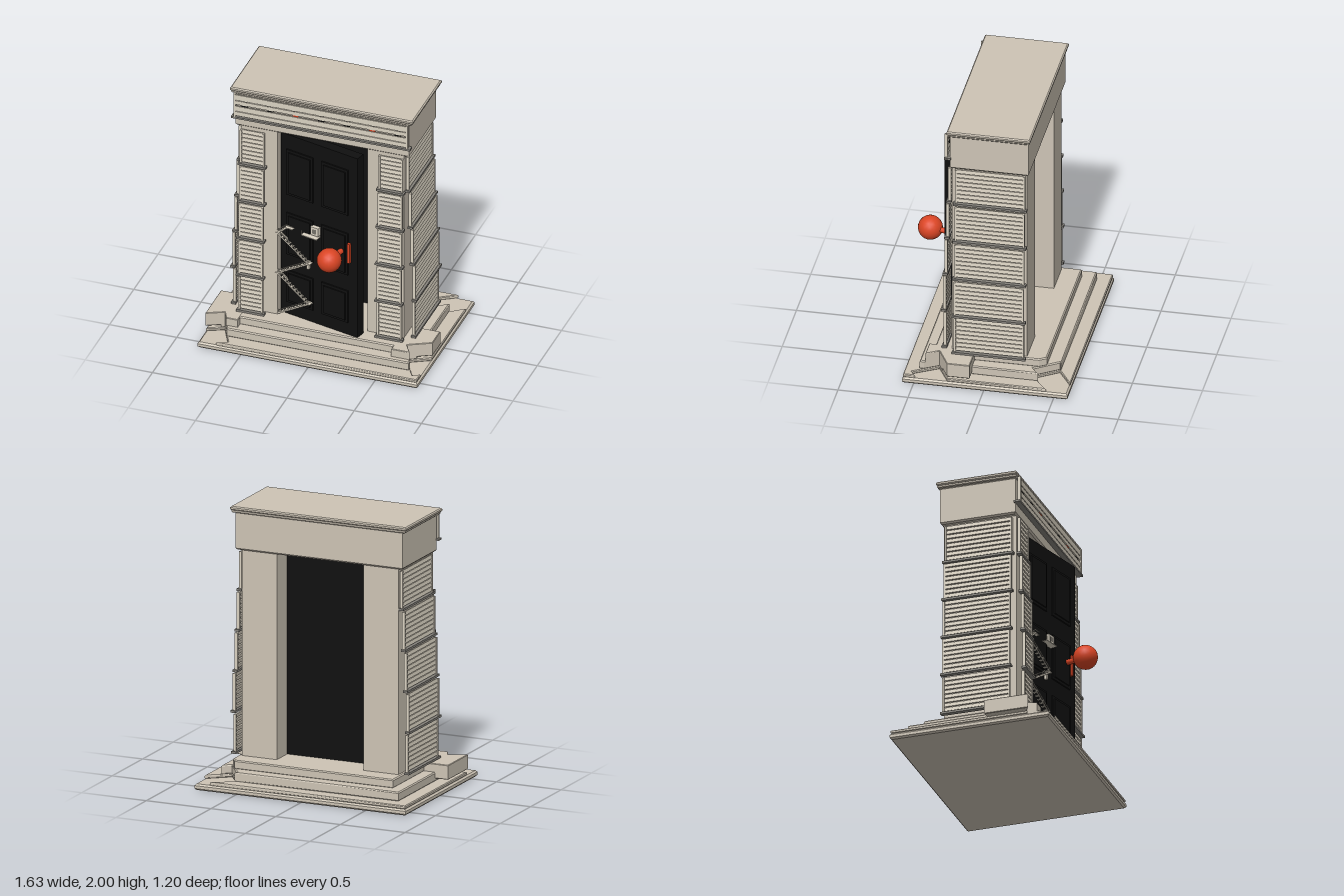
import * as THREE from 'three';

const mat = (name, color) => Object.assign(new THREE.MeshStandardMaterial({ color }), { name });

export function createModel() {
  const model = new THREE.Group();
  model.name = 'doorway';
  const stone = mat('stone', 0xcdc4b5);
  const cream = mat('cream cladding', 0xdad2c2);
  const trim = mat('grey trim', 0x85827c);
  const black = mat('black paint', 0x101010);
  const orange = mat('orange paint', 0xdb4524);

  const add = (parent, name, geometry, material, x = 0, y = 0, z = 0) => {
    const mesh = new THREE.Mesh(geometry, material);
    mesh.name = name;
    mesh.position.set(x, y, z);
    parent.add(mesh);
    return mesh;
  };
  // box given by its limits on each axis
  const block = (parent, name, material, [x0, x1], [y0, y1], [z0, z1]) =>
    add(parent, name, new THREE.BoxGeometry(x1 - x0, y1 - y0, z1 - z0), material,
      (x0 + x1) / 2, (y0 + y1) / 2, (z0 + z1) / 2);
  // bevelled horizontal slab from an outline of [x, z] points
  const slab = (name, outline, y0, y1, bevel) => {
    const shape = new THREE.Shape(outline.map(([x, z]) => new THREE.Vector2(x, -z)));
    const geometry = new THREE.ExtrudeGeometry(shape, {
      depth: y1 - y0 - 2 * bevel, bevelEnabled: bevel > 0, bevelSize: bevel,
      bevelThickness: bevel, bevelOffset: -bevel, bevelSegments: 1,
    });
    geometry.translate(0, 0, bevel);
    geometry.rotateX(-Math.PI / 2);
    return add(model, name, geometry, stone, 0, y0, 0);
  };
  const rect = (x, z0, z1) => [[-x, z0], [x, z0], [x, z1], [-x, z1]];

  // Plinth and steps, with three chipped corners
  slab('plinth', rect(0.817, -0.6, 0.58), 0, 0.045, 0.012);
  slab('plinthTop', [[-0.81, -0.595], [0.7, -0.595], [0.54, -0.49], [0.655, -0.325], [0.81, -0.445],
    [0.81, 0.26], [0.655, 0.345], [0.76, 0.52], [0.81, 0.49], [0.81, 0.575], [-0.68, 0.575],
    [-0.605, 0.54], [-0.69, 0.365], [-0.81, 0.42]], 0.045, 0.07, 0.006);
  slab('lowerStep', [[-0.715, -0.5], [0.555, -0.5], [0.54, -0.49], [0.655, -0.325], [0.715, -0.37],
    [0.715, 0.313], [0.655, 0.345], [0.715, 0.445], [0.715, 0.475], [-0.637, 0.475],
    [-0.69, 0.365], [-0.715, 0.377]], 0.068, 0.135, 0.008);
  slab('upperStep', [[-0.63, -0.41], [0.596, -0.41], [0.63, -0.36], [0.63, 0.388], [-0.63, 0.388]],
    0.13, 0.195, 0.008);
  slab('rightCornerStone', [[0.57, 0.1], [0.815, 0.1], [0.815, 0.26], [0.655, 0.345],
    [0.709, 0.435], [0.57, 0.435]], 0.09, 0.196, 0.004);
  slab('leftCornerStone', [[-0.57, 0.1], [-0.815, 0.1], [-0.815, 0.425], [-0.69, 0.365],
    [-0.656, 0.435], [-0.57, 0.435]], 0.09, 0.196, 0.004);

  // Piers, lintel and cap
  for (const s of [-1, 1]) {
    const pier = add(model, 'pier', new THREE.BoxGeometry(0.27, 1.495, 0.535), stone, s * 0.47, 0.9425, -0.0025);
    pier.name = s > 0 ? 'leftPier' : 'rightPier';
  }
  slab('lintel', rect(0.645, -0.288, 0.272), 1.685, 1.965, 0.012);
  slab('capUnder', rect(0.67, -0.3, 0.285), 1.955, 1.978, 0.006);
  slab('cap', rect(0.68, -0.306, 0.292), 1.972, 2, 0.008);

  // Slatted cladding panel facing +z, standing on a grey rail
  const cladding = (name, width, height) => {
    const panel = new THREE.Group();
    panel.name = name;
    const count = 8, pitch = (height - 0.02) / count;
    for (let i = 0; i < count; i++) {
      const slat = add(panel, 'slat', new THREE.BoxGeometry(width - 0.02, pitch * 0.8, 0.012), cream,
        0, 0.02 + (i + 0.5) * pitch, 0);
      slat.rotation.x = -0.15;
    }
    for (const s of [-1, 1]) {
      add(panel, 'stile', new THREE.BoxGeometry(0.014, height - 0.01, 0.022), cream,
        s * (width / 2 - 0.007), height / 2, 0);
    }
    add(panel, 'rail', new THREE.BoxGeometry(width + 0.025, 0.016, 0.036), trim, 0, 0.008, 0.004);
    return panel;
  };
  const sideX = [0.665, 0.67, 0.655, 0.64, 0.622];
  const frontZ = [0.315, 0.32, 0.31, 0.298, 0.284];
  for (let i = 0; i < 5; i++) {
    for (const s of [-1, 1]) {
      const y = 0.2 + i * 0.296;
      const front = cladding('frontCladding', 0.182, 0.288);
      front.position.set(s * 0.515, y, frontZ[i]);
      const side = cladding('sideCladding', 0.5, 0.288);
      side.position.set(s * sideX[i], y, -0.01);
      side.rotation.y = s * Math.PI / 2;
      model.add(front, side);
    }
  }

  // Slatted frieze with small painted dashes in its gaps
  const frieze = new THREE.Group();
  frieze.name = 'frieze';
  model.add(frieze);
  for (const [y0, y1] of [[1.785, 1.818], [1.823, 1.862], [1.876, 1.906], [1.912, 1.955]]) {
    block(frieze, 'friezeSlat', cream, [-0.635, 0.635], [y0, y1], [0.292, 0.304]);
  }
  for (const s of [-1, 1]) {
    add(frieze, 'friezeEnd', new THREE.BoxGeometry(0.014, 0.19, 0.022), cream, s * 0.64, 1.87, 0.3);
  }
  block(frieze, 'friezeLedge', trim, [-0.665, 0.665], [1.764, 1.778], [0.265, 0.312]);
  for (let i = -3; i <= 3; i++) {
    const paint = i === -1 || i === 2 ? orange : black;
    add(frieze, 'dash', new THREE.BoxGeometry(0.045, 0.012, 0.03), paint, i * 0.19, 1.869, 0.285);
    add(frieze, 'upperDash', new THREE.BoxGeometry(0.04, 0.006, 0.03), black, i * 0.19, 1.909, 0.285);
  }

  // Dark closing panel inside the opening
  block(model, 'innerPanel', black, [-0.336, 0.336], [0.195, 1.69], [-0.1, -0.085]);

  // Door, ajar, hinged at x = -0.33; its face is local z = 0
  const door = new THREE.Group();
  door.name = 'door';
  door.position.set(-0.325, 0, 0.225);
  door.rotation.y = -0.245;
  model.add(door);
  block(door, 'doorLeaf', black, [0, 0.645], [0.2, 1.668], [-0.075, 0]);
  for (const [y0, y1] of [[1.18, 1.55], [0.69, 1.03], [0.3, 0.56]]) {
    for (const u of [0.05, 0.345]) {
      block(door, 'raisedPanel', black, [u, u + 0.225], [y0, y1], [-0.005, 0.01]);
      block(door, 'panelField', black, [u + 0.02, u + 0.205], [y0 + 0.02, y1 - 0.02], [0, 0.018]);
    }
  }

  // Knob and lock plate
  add(door, 'knob', new THREE.IcosahedronGeometry(0.088, 3), orange, 0.521, 0.88, 0.169).material.flatShading = false;
  const stem = add(door, 'knobStem', new THREE.CylinderGeometry(0.02, 0.02, 0.11, 16), orange, 0.521, 0.88, 0.055);
  stem.rotation.x = Math.PI / 2;
  block(door, 'lockPlate', orange, [0.57, 0.592], [0.8, 0.955], [0, 0.022]);

  // Little zigzag staircase climbing the door
  const stairs = new THREE.Group();
  stairs.name = 'zigzagStairs';
  door.add(stairs);
  const turns = [[0, 0.205], [0.26, 0.365], [0, 0.535], [0.26, 0.695], [0, 0.865], [0.075, 0.93]];
  for (let i = 0; i < turns.length - 1; i++) {
    const [u0, v0] = turns[i], [u1, v1] = turns[i + 1];
    const length = Math.hypot(u1 - u0, v1 - v0);
    const steps = Math.round(length / 0.03);
    for (const [dv, z, name] of [[0, 0.012, 'stringer'], [0, 0.046, 'stringer'], [0.025, 0.046, 'handrail']]) {
      const bar = add(stairs, name, new THREE.BoxGeometry(length, name === 'stringer' ? 0.01 : 0.005, 0.005),
        cream, (u0 + u1) / 2, (v0 + v1) / 2 + dv, z);
      bar.rotation.z = Math.atan2(v1 - v0, u1 - u0);
    }
    for (let k = 0; k < steps; k++) {
      const t = (k + 0.5) / steps, u = u0 + (u1 - u0) * t, v = v0 + (v1 - v0) * t;
      add(stairs, 'tread', new THREE.BoxGeometry(0.022, 0.004, 0.036), cream, u, v, 0.029);
      if (k % 3 === 0) add(stairs, 'post', new THREE.BoxGeometry(0.004, 0.026, 0.004), cream, u, v + 0.013, 0.046);
    }
    block(stairs, 'landing', cream, [u1 - 0.015, u1 + 0.015], [v1 - 0.004, v1 + 0.002], [0.004, 0.05]);
  }
  block(stairs, 'landingHook', cream, [0.235, 0.255], [0.64, 0.69], [0.01, 0.03]);
  block(stairs, 'topLanding', cream, [0.07, 0.125], [0.926, 0.932], [0, 0.045]);
  block(stairs, 'topRail', cream, [0.07, 0.125], [0.95, 0.955], [0.04, 0.045]);

  // Shelf and small framed tile
  block(door, 'shelf', cream, [0.205, 0.335], [0.918, 0.924], [0, 0.055]);
  block(door, 'shelfPost', cream, [0.205, 0.21], [0.924, 0.955], [0.05, 0.055]);
  block(door, 'tile', cream, [0.268, 0.333], [0.934, 1.0], [0, 0.03]);
  for (const u of [0.29, 0.305]) block(door, 'tileSlot', black, [u, u + 0.007], [0.95, 0.985], [0.028, 0.032]);

  return model;
}
